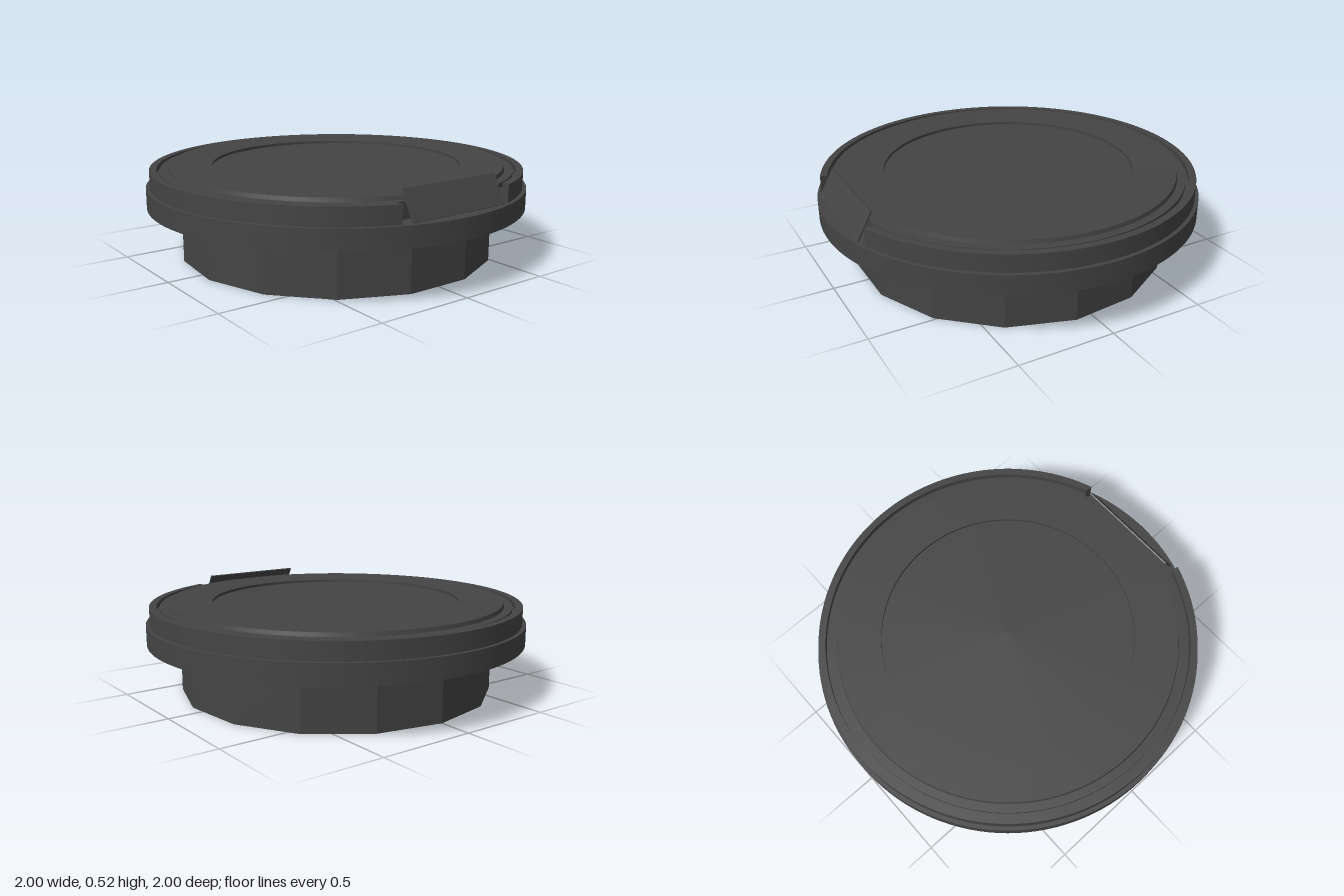
import * as THREE from 'three';
import { toCreasedNormals } from 'three/addons/utils/BufferGeometryUtils.js';

const SEG = 128;
const NOTCH_X = 0.33;  // half width of the front notch
const NOTCH_Z = 0.865; // flat back wall of the notch

function createMaterial(flatShading = false) {
  return new THREE.MeshStandardMaterial({ color: 0x444444, flatShading });
}

function addMesh(group, name, geometry, flat = false) {
  const mesh = new THREE.Mesh(geometry, createMaterial(flat));
  mesh.name = name;
  group.add(mesh);
  return mesh;
}

// Turned part from [radius, height] pairs, listed from the bottom up.
function turned(points) {
  return new THREE.LatheGeometry(points.map(([r, y]) => new THREE.Vector2(r, y)), SEG);
}

// Upright ring wall that stops at the notch on both sides.
function openRing(inner, outer, bottom, top) {
  const a = Math.acos(NOTCH_X / outer);
  const b = Math.acos(NOTCH_X / inner);
  const shape = new THREE.Shape();
  shape.absarc(0, 0, outer, Math.PI - a, 2 * Math.PI + a, false);
  shape.absarc(0, 0, inner, 2 * Math.PI + b, Math.PI - b, true);
  const geometry = new THREE.ExtrudeGeometry(shape, {
    depth: top - bottom, bevelEnabled: false, curveSegments: SEG,
  });
  geometry.rotateX(Math.PI / 2).translate(0, top, 0);
  return toCreasedNormals(geometry, 0.5);
}

export function createModel() {
  const group = new THREE.Group();

  // Faceted lower body, one flat side facing the front
  const base = new THREE.CylinderGeometry(0.83, 0.83, 0.28, 15, 1, false, Math.PI);
  base.translate(0, 0.14, 0);
  addMesh(group, 'base', base, true);

  // Wide round flange
  const flange = turned([[0, 0.275], [1, 0.275], [1, 0.38], [0, 0.38]]);
  addMesh(group, 'flange', toCreasedNormals(flange, 0.5));

  // Raised outer rim and the groove floor just inside it
  addMesh(group, 'outerRim', openRing(0.943, 0.98, 0.375, 0.47));
  addMesh(group, 'grooveFloor', openRing(0.926, 0.944, 0.375, 0.44));

  // Lid with a stepped edge, gently dished ring and sunken centre
  const lid = turned([
    [0.927, 0.375], [0.927, 0.465], [0.885, 0.465], [0.88, 0.485],
    [0.655, 0.479], [0.655, 0.464], [0, 0.464],
  ]);
  // Flatten the front of the lid to form the back of the notch
  const pos = lid.attributes.position;
  for (let i = 0; i < pos.count; i++) pos.setZ(i, Math.min(pos.getZ(i), NOTCH_Z));
  addMesh(group, 'lid', toCreasedNormals(lid, 0.3));

  // Thin latch plate leaning back in the notch
  const lean = Math.atan2(0.075, 0.138);
  const latch = addMesh(group, 'latch', new THREE.BoxGeometry(0.57, 0.157, 0.008));
  latch.position.set(0, 0.451, 0.903);
  latch.rotation.x = -lean;

  return group;
}
